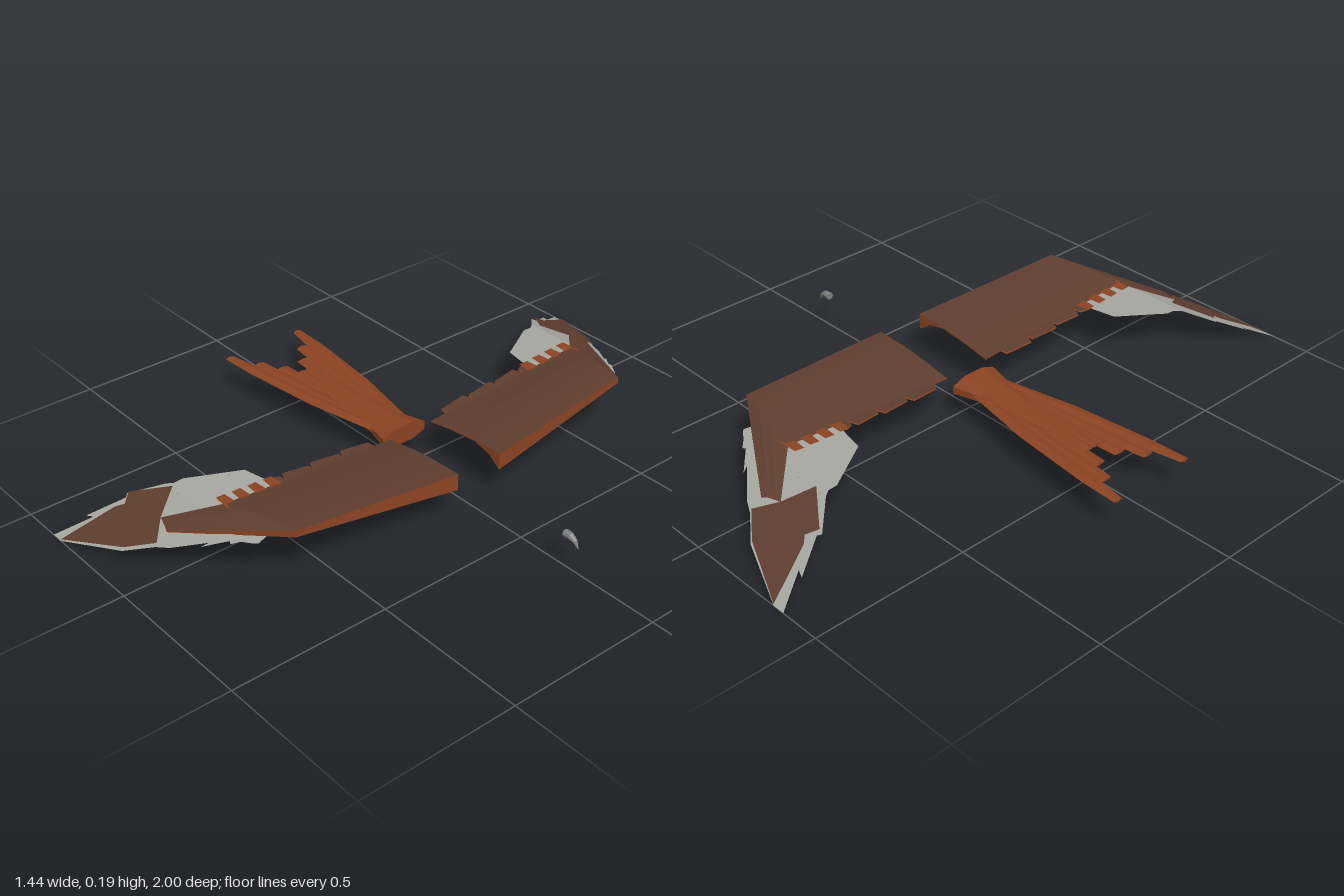
import * as THREE from 'three';

const mat = (name, color) => {
  const m = new THREE.MeshStandardMaterial({ color, side: THREE.DoubleSide });
  m.name = name;
  return m;
};

// Skin rows of points; closed rows wrap round, caps fill the first and last row
function loft(rows, closed = false, caps = false) {
  const pos = [], n = rows[0].length;
  const tri = (a, b, c) => pos.push(...a, ...b, ...c);
  for (let i = 0; i < rows.length - 1; i++) {
    for (let j = 0; j < (closed ? n : n - 1); j++) {
      const k = (j + 1) % n;
      tri(rows[i][j], rows[i + 1][j], rows[i + 1][k]);
      tri(rows[i][j], rows[i + 1][k], rows[i][k]);
    }
  }
  if (caps) {
    const first = rows[0], last = rows[rows.length - 1];
    for (let j = 1; j < n - 1; j++) {
      tri(first[0], first[j], first[j + 1]);
      tri(last[0], last[j + 1], last[j]);
    }
  }
  const g = new THREE.BufferGeometry();
  g.setAttribute('position', new THREE.Float32BufferAttribute(pos, 3));
  g.computeVertexNormals();
  return g;
}

// Flat sheet from an x,z outline, its height given by a rule
function sheet(outline, heightAt, side) {
  const shape = new THREE.Shape(outline.map(([x, z]) => new THREE.Vector2(x, -z * side)));
  const g = new THREE.ShapeGeometry(shape).rotateX(-Math.PI / 2);
  const p = g.attributes.position;
  for (let i = 0; i < p.count; i++) p.setY(i, heightAt(Math.abs(p.getZ(i))));
  g.computeVertexNormals();
  return g;
}

export function createModel() {
  const model = new THREE.Group();
  const brown = mat('dark brown', 0x5e3d2e);
  const rust = mat('rust', 0x8b4322);
  const grey = mat('pale grey', 0xa6a6a0);
  const horn = mat('beak grey', 0x808080);
  const add = (parent, name, geometry, material) => {
    const m = new THREE.Mesh(geometry, material);
    m.name = name;
    parent.add(m);
  };

  // Wing sections: leading edge, trailing edge, depth of the front face, camber
  const stations = [
    { lead: [0.32, 0.158, 0.08], trail: [0.02, 0.128, 0.08], depth: 0.054, camber: 0.008 },
    { lead: [0.275, 0.188, 0.62], trail: [0.02, 0.165, 0.67], depth: 0.02, camber: 0.008 },
    { lead: [-0.05, 0.105, 0.82], trail: [-0.11, 0.108, 0.8], depth: 0.005, camber: 0.002 },
  ];
  const steps = [0, 0.15, 0.35, 0.65, 1];
  const chord = (s, t, dy, side) => {
    const [x, y, z] = s.lead.map((v, i) => v + (s.trail[i] - v) * t);
    return [x, y + s.camber * Math.sin(Math.PI * t) + dy, z * side];
  };
  const trailY = z => 0.129 + (z - 0.08) * 0.061;
  const greyOuterY = z => 0.137 - 0.489 * (z - 0.72);
  const greyInnerY = z => 0.152 - 0.068 * (z - 0.5);
  const brownTipY = z => 0.15 - 0.515 * (z - 0.72);

  for (const side of [1, -1]) {
    const wing = new THREE.Group();
    wing.name = side > 0 ? 'leftWing' : 'rightWing';
    model.add(wing);
    const upper = stations.map(s => steps.map(t => chord(s, t, 0, side)));
    const lower = stations.map(s => steps.map(t =>
      chord(s, t, -s.depth * Math.max(0.08, 1 - 4 * t), side)));
    add(wing, 'wingTop', loft(upper), brown);
    add(wing, 'wingUnderside', loft(lower), rust);
    add(wing, 'leadingEdge', loft(upper.map((u, i) => [u[0], lower[i][0]])), rust);
    add(wing, 'trailingEdge', loft(upper.map((u, i) => [u[4], lower[i][4]])), rust);
    add(wing, 'wingRoot', loft([upper[0], lower[0]]), rust);
    add(wing, 'wingEnd', loft([upper[2], lower[2]]), brown);

    // Stepped secondary feathers
    const cuts = [0.14, 0.25, 0.36, 0.46];
    cuts.forEach((z, i) => {
      const end = cuts[i + 1] ?? 0.5;
      const outline = [[0.04, z], [-0.005, z + 0.005], [-0.015, end - 0.01], [0.015, end], [0.04, end]];
      add(wing, 'secondaryTop', sheet(outline, trailY, side), brown);
      add(wing, 'secondaryUnderside', sheet(outline, z => trailY(z) - 0.005, side), rust);
    });
    // Short rust feathers by the wrist
    for (let i = 0; i < 4; i++) {
      const z = 0.48 + i * 0.053;
      add(wing, 'shortFeather', sheet([[0.05, z], [-0.02, z + 0.006], [-0.018, z + 0.036],
        [0.05, z + 0.04]], z => trailY(z) + 0.001, side), rust);
    }
    // Grey flight feathers under the hand of the wing
    add(wing, 'innerPrimaries', sheet([[0.16, 0.72], [0.19, 0.7], [0.2, 0.69], [0.18, 0.62],
      [0.1, 0.55], [0, 0.5], [-0.1, 0.52], [-0.19, 0.67], [-0.19, 0.7], [-0.205, 0.72]],
    greyInnerY, side), grey);
    add(wing, 'outerPrimaries', sheet([[0.16, 0.72], [0.14, 0.74], [0.13, 0.735], [0.07, 0.79],
      [0.08, 0.77], [-0.01, 0.84], [-0.05, 0.86], [-0.13, 0.92], [-0.33, 1], [-0.37, 1],
      [-0.31, 0.9], [-0.335, 0.91], [-0.275, 0.81], [-0.285, 0.8], [-0.205, 0.72]],
    greyOuterY, side), grey);
    // Brown coverts over the wing tip
    add(wing, 'tipCoverts', sheet([[-0.05, 0.855], [-0.13, 0.915], [-0.33, 1], [-0.27, 0.85],
      [-0.25, 0.83], [-0.275, 0.8], [-0.165, 0.72], [-0.11, 0.8]], brownTipY, side), brown);
  }

  // Tail base: an eight-sided section flattening towards the back
  const tail = new THREE.Group();
  tail.name = 'tail';
  model.add(tail);
  const ring = (x, y, h, w) => Array.from({ length: 8 }, (_, i) => {
    const a = (i + 0.5) * Math.PI / 4;
    return [x, y + h * Math.sin(a) * 1.08, w * Math.cos(a) * 1.08];
  });
  add(tail, 'tailBase', loft([ring(-0.01, 0.1, 0.03, 0.082), ring(-0.1, 0.1, 0.022, 0.06),
    ring(-0.25, 0.103, 0.01, 0.05), ring(-0.42, 0.103, 0.005, 0.03)], true, true), rust);

  // Forked fan of tail feathers: end x, end z, half width, height
  const feathers = [[-0.72, 0.136, 0.015, 0.105], [-0.63, 0.086, 0.02, 0.102],
    [-0.565, 0.042, 0.022, 0.099], [-0.5, 0.012, 0.02, 0.103]];
  for (const side of [1, -1]) {
    for (const [endX, endZ, w, y] of feathers) {
      const section = (t, half, thick) => {
        const x = -0.06 + (endX + 0.06) * t;
        const z = endZ * (0.3 + 0.7 * Math.pow(t, 0.75));
        return [[x, y, (z - half) * side], [x, y + thick, z * side],
          [x, y, (z + half) * side], [x, y - thick, z * side]];
      };
      add(tail, 'tailFeather', loft([section(0, 0.022, 0.009), section(0.4, 0.027, 0.008),
        section(0.8, 0.024, 0.006), section(1, w, 0.005)], true, true), rust);
    }
  }

  // Hooked beak: rings that turn downwards
  const beakRings = [[0.668, 0.109, 0.012, 0], [0.69, 0.109, 0.011, 0.25],
    [0.707, 0.1, 0.007, 0.8], [0.72, 0.081, 0.001, 1.1]];
  add(model, 'beak', loft(beakRings.map(([x, y, r, tilt]) =>
    Array.from({ length: 8 }, (_, i) => {
      const a = i * Math.PI / 4, up = r * Math.sin(a);
      return [x + up * Math.sin(tilt), y + up * Math.cos(tilt), r * Math.cos(a)];
    })), true, true), horn);

  return model;
}
